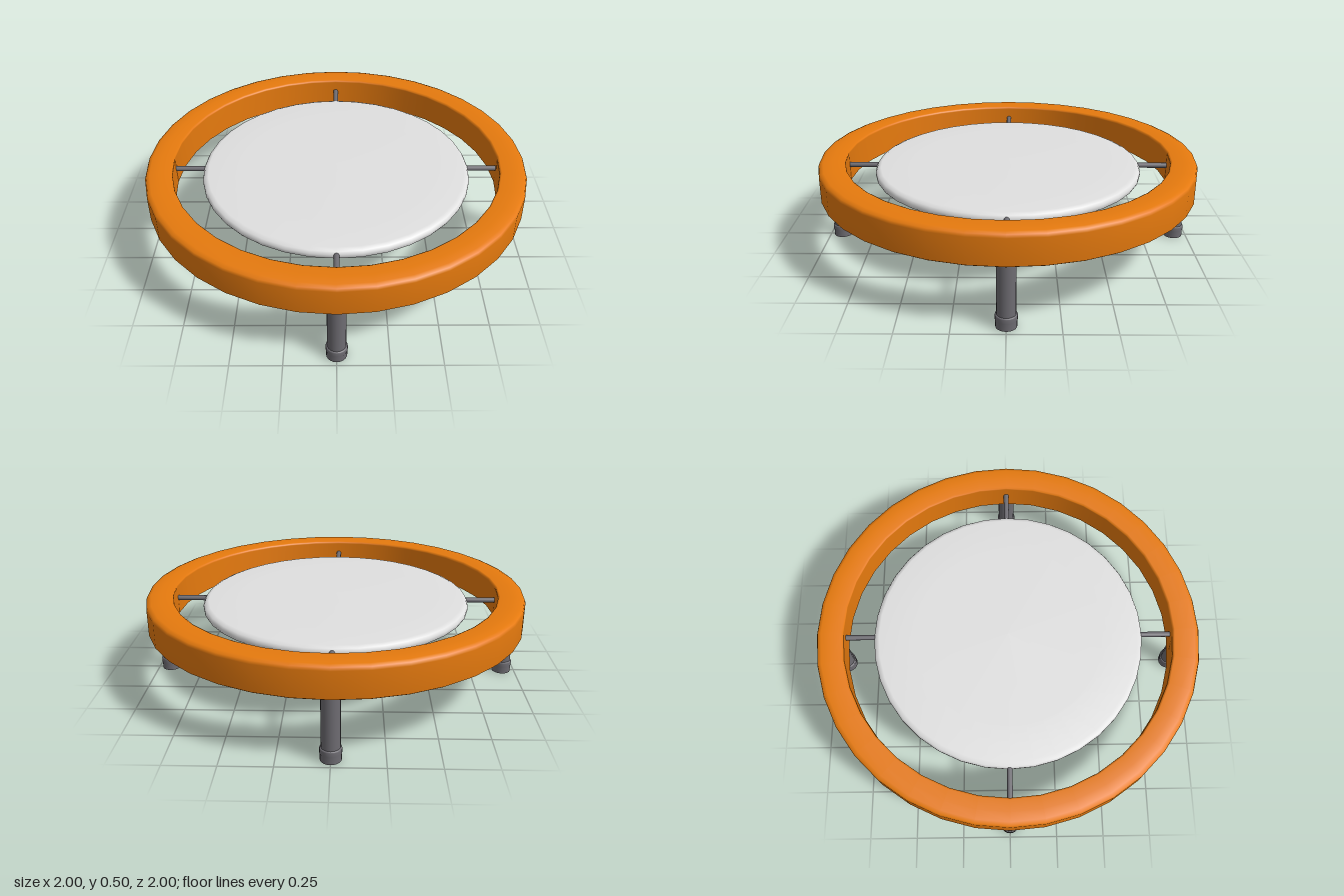
import * as THREE from 'three';

const material = (name, color) => {
  const m = new THREE.MeshStandardMaterial({ color });
  m.name = name;
  return m;
};

// Revolve a profile; a point given twice makes a sharp edge.
const lathe = (points, segments) =>
  new THREE.LatheGeometry(points.map(([r, y]) => new THREE.Vector2(r, y)), segments);

export function createModel() {
  const orange = material('orange padding', 0xe67a0e);
  const white = material('white mat', 0xe0e0e0);
  const grey = material('grey metal', 0x6e6c72);

  const model = new THREE.Group();
  model.name = 'trampoline';
  const add = (name, geometry, mat, parent = model) => {
    const mesh = new THREE.Mesh(geometry, mat);
    mesh.name = name;
    parent.add(mesh);
    return mesh;
  };

  // Padded outer ring with a softly crowned top
  add('paddedRing', lathe([
    [0.86, 0.33], [0.99, 0.33], [0.99, 0.33], [1, 0.337], [1, 0.47],
    [0.994, 0.485], [0.975, 0.493], [0.93, 0.495], [0.87, 0.493],
    [0.861, 0.488], [0.86, 0.48], [0.86, 0.33],
  ], 36), orange);

  // Slightly domed jumping mat with a rounded rim and flat underside
  add('mat', lathe([
    [0, 0.398], [0.704, 0.398], [0.704, 0.398], [0.709, 0.408], [0.709, 0.422],
    [0.701, 0.436], [0.68, 0.445], [0.5, 0.45], [0, 0.453],
  ], 36), white);

  // Four supports, each a leg with a foot cap and a rod to the mat
  const legShape = new THREE.CylinderGeometry(0.045, 0.045, 0.31, 20);
  const footShape = lathe([
    [0, 0], [0.05, 0], [0.05, 0], [0.05, 0.034], [0.052, 0.038],
    [0.052, 0.06], [0.05, 0.065], [0.044, 0.066],
  ], 20);
  const rodShape = new THREE.CylinderGeometry(0.014, 0.014, 0.18, 12);
  for (let i = 0; i < 4; i++) {
    const support = new THREE.Group();
    support.name = `support${i + 1}`;
    support.rotation.y = (i * Math.PI) / 2;
    model.add(support);
    add('leg', legShape, grey, support).position.set(0, 0.185, 0.93);
    add('foot', footShape, grey, support).position.z = 0.93;
    const rod = add('rod', rodShape, grey, support);
    rod.rotation.x = Math.PI / 2;
    rod.position.set(0, 0.417, 0.775);
  }
  return model;
}
